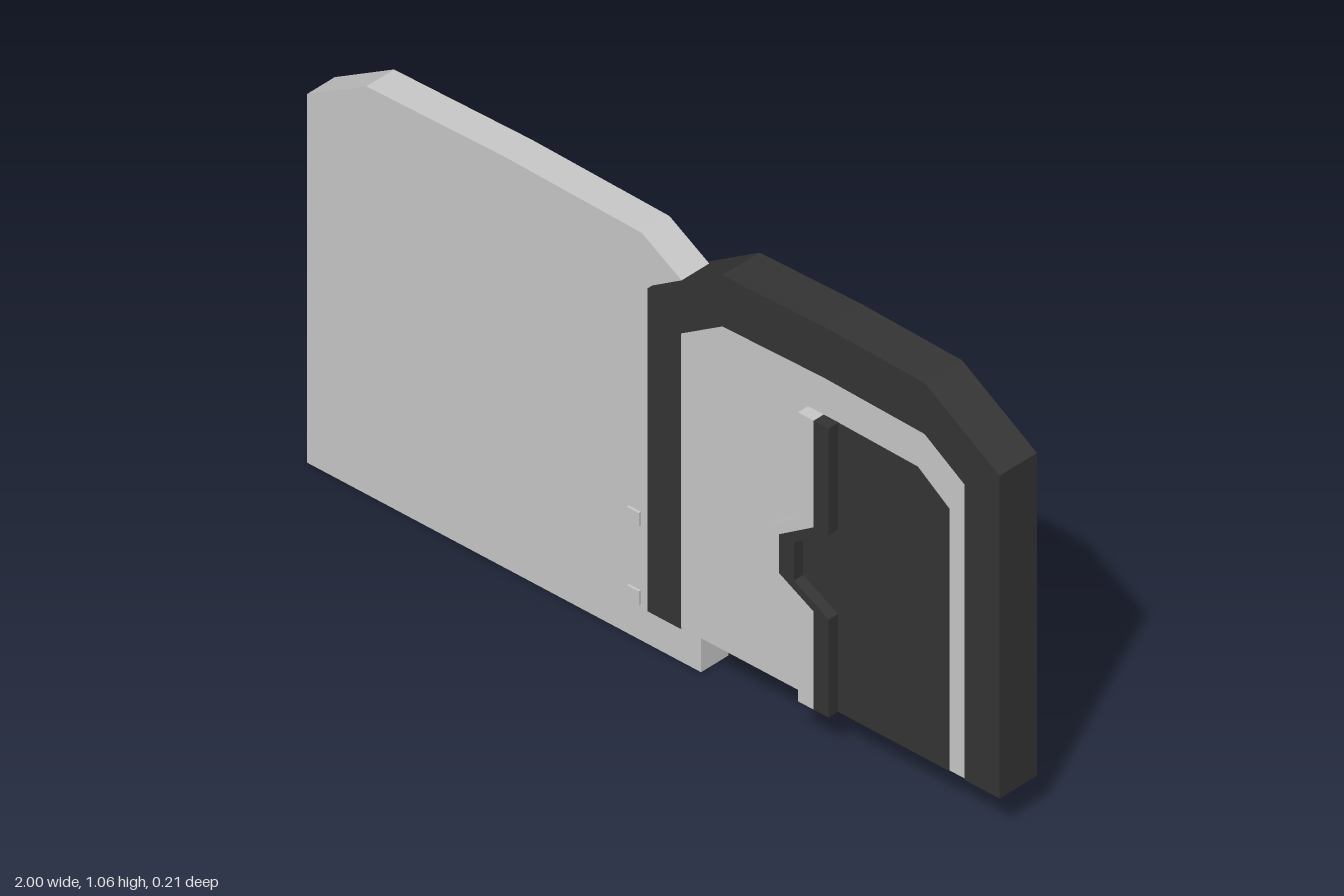
import * as THREE from 'three';

const light = new THREE.MeshStandardMaterial({ color: 0xc8c8c8 });
light.name = 'light grey';
const dark = new THREE.MeshStandardMaterial({ color: 0x343434 });
dark.name = 'dark grey';

const toPoints = (list) => list.map(([x, y]) => new THREE.Vector2(x, y));

// Slab with the given outline between two depths
function slab(name, outline, z0, z1, material) {
  const geometry = new THREE.ExtrudeGeometry(new THREE.Shape(toPoints(outline)), {
    depth: z1 - z0, bevelEnabled: false,
  });
  geometry.translate(0, 0, z0);
  const mesh = new THREE.Mesh(geometry, material);
  mesh.name = name;
  return mesh;
}

export function createModel() {
  const group = new THREE.Group();
  group.name = 'slidingDoor';

  // Wide panel beside the doorway
  group.add(slab('sidePanel', [
    [-1, 0], [0.13, 0], [0.13, 0.94], [-0.04, 1.04], [-0.435, 1.048], [-0.83, 1.04], [-1, 0.94],
  ], -0.025, 0.06, light));

  // Arched frame, open at the bottom
  const arch = [[0.9, 0.097], [0.9, 0.85], [0.785, 0.925], [0.495, 0.932], [0.205, 0.925], [0.085, 0.85], [0.085, 0.097]];
  group.add(slab('doorFrame', [
    [-0.01, 0.097], [-0.01, 0.92], [0.205, 1.055], [0.495, 1.062], [0.785, 1.055], [1, 0.92], [1, 0.097],
    ...arch,
  ], -0.04, 0.075, dark));

  // Light filling of the frame
  group.add(slab('doorFill', arch.map(([x, y]) => [x, Math.max(y, 0.1)]), -0.039, 0.074, light));

  // Zigzag meeting edge shared by both leaves
  const edge = [[0, 0.1], [0, 0.35], [-0.1, 0.402], [-0.1, 0.5], [0, 0.565], [0, 0.837]];
  const shifted = (dx) => edge.map(([x, y]) => [x + dx, y]);

  group.add(slab('darkLeaf', [
    ...shifted(0.515).reverse(), [0.855, 0.1], [0.855, 0.768], [0.765, 0.832],
  ], -0.041, 0.076, dark));

  // Raised sealing strips, running through both faces
  const strip = (name, x0, x1, material) =>
    group.add(slab(name, [...shifted(x0).reverse(), ...shifted(x1)], -0.07, 0.105, material));
  strip('lightSeal', 0.45, 0.495, light);
  strip('darkSeal', 0.495, 0.538, dark);

  // Bevelled box above the door on the back
  const box = new THREE.BoxGeometry(0.252, 0.1, 0.055);
  box.translate(0, 0, -0.0675);
  const motor = new THREE.Mesh(box, light);
  motor.name = 'backBox';
  motor.position.set(0.49, 0.885, 0);
  group.add(motor);
  const cap = new THREE.CylinderGeometry(Math.SQRT1_2, Math.SQRT1_2, 0.01, 4, 1).toNonIndexed();
  cap.rotateY(Math.PI / 4);
  cap.rotateX(-Math.PI / 2);
  const p = cap.attributes.position;
  for (let i = 0; i < p.count; i++) {
    const outer = p.getZ(i) < 0;
    p.setX(i, p.getX(i) * (outer ? 0.226 : 0.252));
    p.setY(i, p.getY(i) * (outer ? 0.08 : 0.1));
  }
  cap.computeVertexNormals();
  const bevel = new THREE.Mesh(cap, light);
  bevel.name = 'backBoxBevel';
  bevel.position.set(0.49, 0.885, -0.1);
  group.add(bevel);

  // Small catches through the side panel
  for (const y of [0.31, 0.11]) {
    const catchBlock = new THREE.Mesh(new THREE.BoxGeometry(0.035, 0.035, 0.1), light);
    catchBlock.name = 'catch';
    catchBlock.position.set(-0.06, y, 0.0165);
    group.add(catchBlock);
  }
  return group;
}
